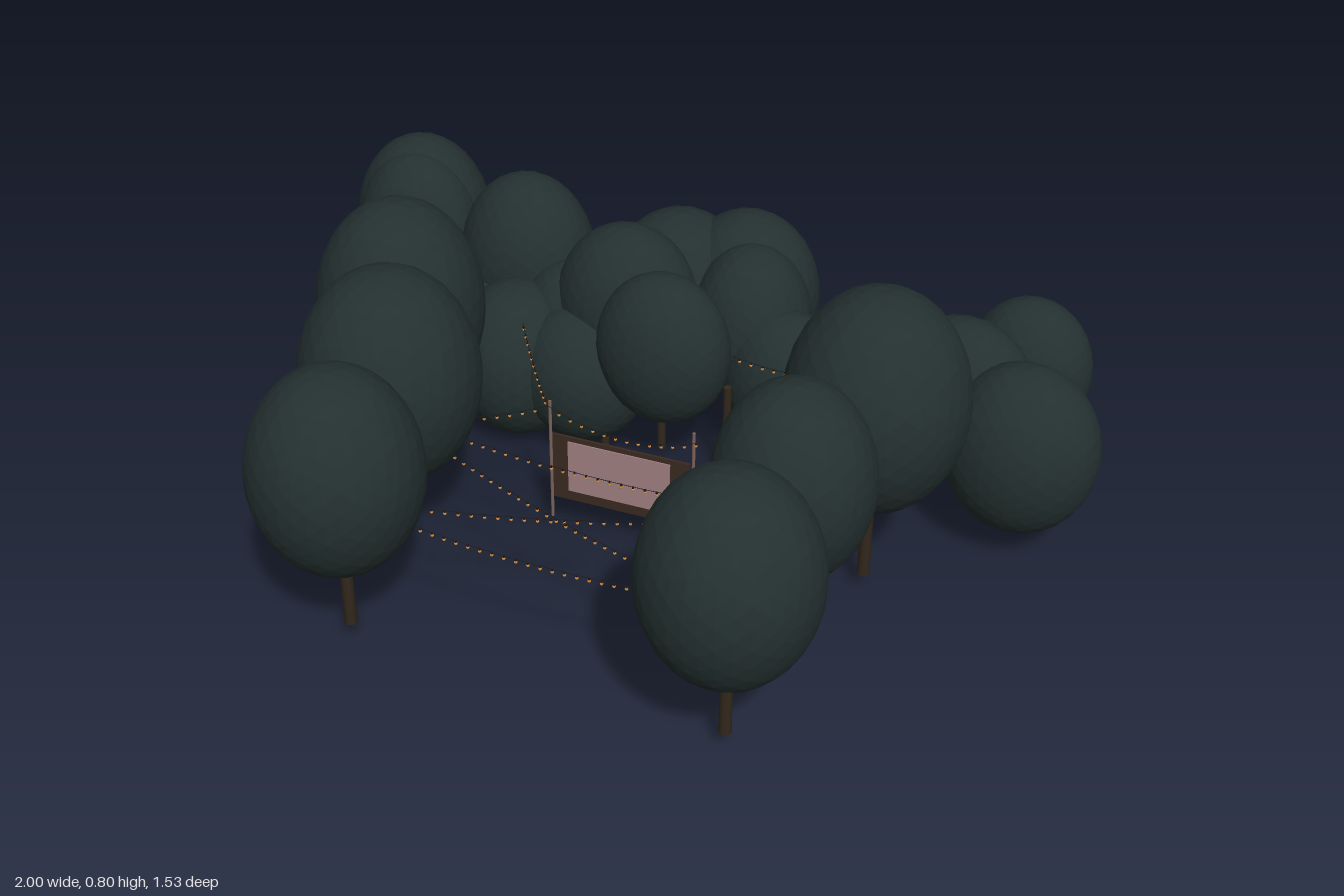
import * as THREE from 'three';

const mat = (name, color, flatShading = false) => {
  const m = new THREE.MeshStandardMaterial({ color, flatShading });
  m.name = name;
  return m;
};

export function createModel() {
  const model = new THREE.Group();
  const foliage = mat('dark foliage', 0x243030, true);
  const bark = mat('bark', 0x32281c);
  const frameMat = mat('screen frame brown', 0x3a2a20);
  const screenMat = mat('screen pink', 0xa08080);
  const poleMat = mat('pole rose brown', 0x7d625c);
  const wireMat = mat('wire black', 0x1c1a1a);
  const bulbMat = mat('bulb orange', 0xd08a40);

  const add = (name, geo, material, x, y, z, parent = model) => {
    const mesh = new THREE.Mesh(geo, material);
    mesh.name = name;
    mesh.position.set(x, y, z);
    parent.add(mesh);
    return mesh;
  };
  const ball = new THREE.IcosahedronGeometry(1, 5);
  const crown = (name, x, z, bottom, top, rx, rz, parent) =>
    add(name, ball, foliage, x, (bottom + top) / 2, z, parent).scale.set(rx, (top - bottom) / 2, rz);
  const trunk = (x, z, bottom, top, r, parent) =>
    add('trunk', new THREE.CylinderGeometry(r * 0.9, r, top - bottom, 8), bark, x, (bottom + top) / 2, z, parent);

  // Tall trees in two rows: x, z, crown bottom, crown top, radius
  const tallTrees = [
    [-0.6, -0.03, 0.25, 0.78, 0.195], [-0.505, 0.22, 0.235, 0.763, 0.205], [-0.475, 0.54, 0.22, 0.715, 0.192],
    [0.535, -0.03, 0.26, 0.797, 0.205], [0.44, 0.255, 0.25, 0.727, 0.176], [0.41, 0.57, 0.216, 0.718, 0.194],
  ];
  for (const [x, z, bottom, top, r] of tallTrees) {
    const tree = new THREE.Group();
    tree.name = 'tallTree';
    model.add(tree);
    crown('crown', x, z, bottom, top, r, r, tree);
    trunk(x, z, 0.05, bottom + 0.1, 0.015, tree);
  }

  // Groves at the back: x, z, bottom, top, x radius, z radius
  const groves = {
    rightmostGrove: [
      [0.77, -0.55, 0.16, 0.525, 0.15, 0.115], [0.64, -0.4, 0.12, 0.53, 0.182, 0.135],
      [0.813, -0.3, 0.07, 0.505, 0.182, 0.148],
    ],
    middleGrove: [
      [-0.11, -0.58, 0.055, 0.56, 0.195, 0.18], [0.055, -0.61, 0.14, 0.575, 0.178, 0.155],
      [-0.19, -0.42, 0.16, 0.59, 0.178, 0.148], [0.1, -0.5, 0.12, 0.55, 0.15, 0.145],
      [0.215, -0.42, 0.065, 0.44, 0.152, 0.12], [-0.05, -0.29, 0.16, 0.56, 0.165, 0.122],
    ],
    leftGrove: [
      [-0.5, -0.53, 0.16, 0.61, 0.172, 0.15], [-0.45, -0.34, 0, 0.42, 0.165, 0.162],
      [-0.33, -0.42, 0.06, 0.46, 0.15, 0.13], [-0.27, -0.315, 0.04, 0.4, 0.165, 0.13],
      [-0.6, -0.38, 0.03, 0.38, 0.15, 0.125],
    ],
    leftmostGrove: [
      [-0.825, -0.61, 0.15, 0.615, 0.176, 0.157], [-0.81, -0.55, 0.155, 0.6, 0.162, 0.125],
      [-0.8, -0.32, 0.235, 0.52, 0.137, 0.112], [-0.7, -0.41, 0.02, 0.4, 0.17, 0.13],
    ],
  };
  for (const [name, crowns] of Object.entries(groves)) {
    const grove = new THREE.Group();
    grove.name = name;
    model.add(grove);
    for (const c of crowns) crown('crown', ...c, grove);
  }
  for (const [x, z] of [[-0.665, -0.3], [-0.63, -0.35], [-0.54, -0.33], [-0.205, -0.3], [-0.075, -0.35], [0.11, -0.3]])
    trunk(x, z, 0.022, 0.28, 0.011, model);

  // Outdoor screen hung between two poles
  add('screenBoard', new THREE.BoxGeometry(0.335, 0.18, 0.006), frameMat, -0.033, 0.2, 0.03);
  add('screenPanel', new THREE.BoxGeometry(0.25, 0.14, 0.003), screenMat, -0.037, 0.208, 0.0345);
  for (const x of [-0.205, 0.143])
    add('screenPole', new THREE.CylinderGeometry(0.004, 0.004, 0.33, 8), poleMat, x, 0.215, 0.032);

  // Potted plant beside the screen
  add('pot', new THREE.CylinderGeometry(0.016, 0.012, 0.028, 10), screenMat, 0.18, 0.064, 0.06);
  for (const [x, y, z, r] of [[0.178, 0.09, 0.066, 0.018], [0.182, 0.11, 0.058, 0.02], [0.172, 0.1, 0.055, 0.016]])
    add('plantLeaves', new THREE.IcosahedronGeometry(r, 1), foliage, x, y, z);

  // Festoon lights: sagging wires with a bulb below each socket
  const bulbGeo = new THREE.IcosahedronGeometry(0.0038, 1);
  const socketGeo = new THREE.CylinderGeometry(0.0025, 0.0025, 0.005, 6);
  const festoon = (a, b, sag) => {
    const group = new THREE.Group();
    group.name = 'festoonLights';
    model.add(group);
    const p = new THREE.Vector3(...a), q = new THREE.Vector3(...b);
    const mid = p.clone().lerp(q, 0.5);
    mid.y -= sag * 2;
    const curve = new THREE.QuadraticBezierCurve3(p, mid, q);
    add('wire', new THREE.TubeGeometry(curve, 20, 0.0009, 4), wireMat, 0, 0, 0, group);
    const n = Math.round(p.distanceTo(q) / 0.028);
    for (let i = 1; i < n; i++) {
      const s = curve.getPoint(i / n);
      add('socket', socketGeo, wireMat, s.x, s.y - 0.002, s.z, group);
      add('bulb', bulbGeo, bulbMat, s.x, s.y - 0.007, s.z, group);
    }
  };
  const leftPole = [-0.205, 0.375, 0.045], rightPole = [0.18, 0.375, 0.045];
  festoon(leftPole, rightPole, 0.045);
  festoon(leftPole, [-0.42, 0.38, -0.29], 0.02);
  festoon(leftPole, [-0.505, 0.39, 0.22], 0.02);
  festoon(rightPole, [0.44, 0.39, 0.255], 0.02);
  festoon(rightPole, [0.395, 0.38, -0.285], 0.02);
  festoon([0.395, 0.38, -0.285], [0.05, 0.38, -0.31], 0.02);
  for (const [lx, lz] of [[-0.505, 0.22], [-0.475, 0.54]])
    for (const [rx, rz] of [[0.44, 0.255], [0.41, 0.57]])
      festoon([lx, 0.4, lz], [rx, 0.4, rz], 0.04);

  return model;
}
